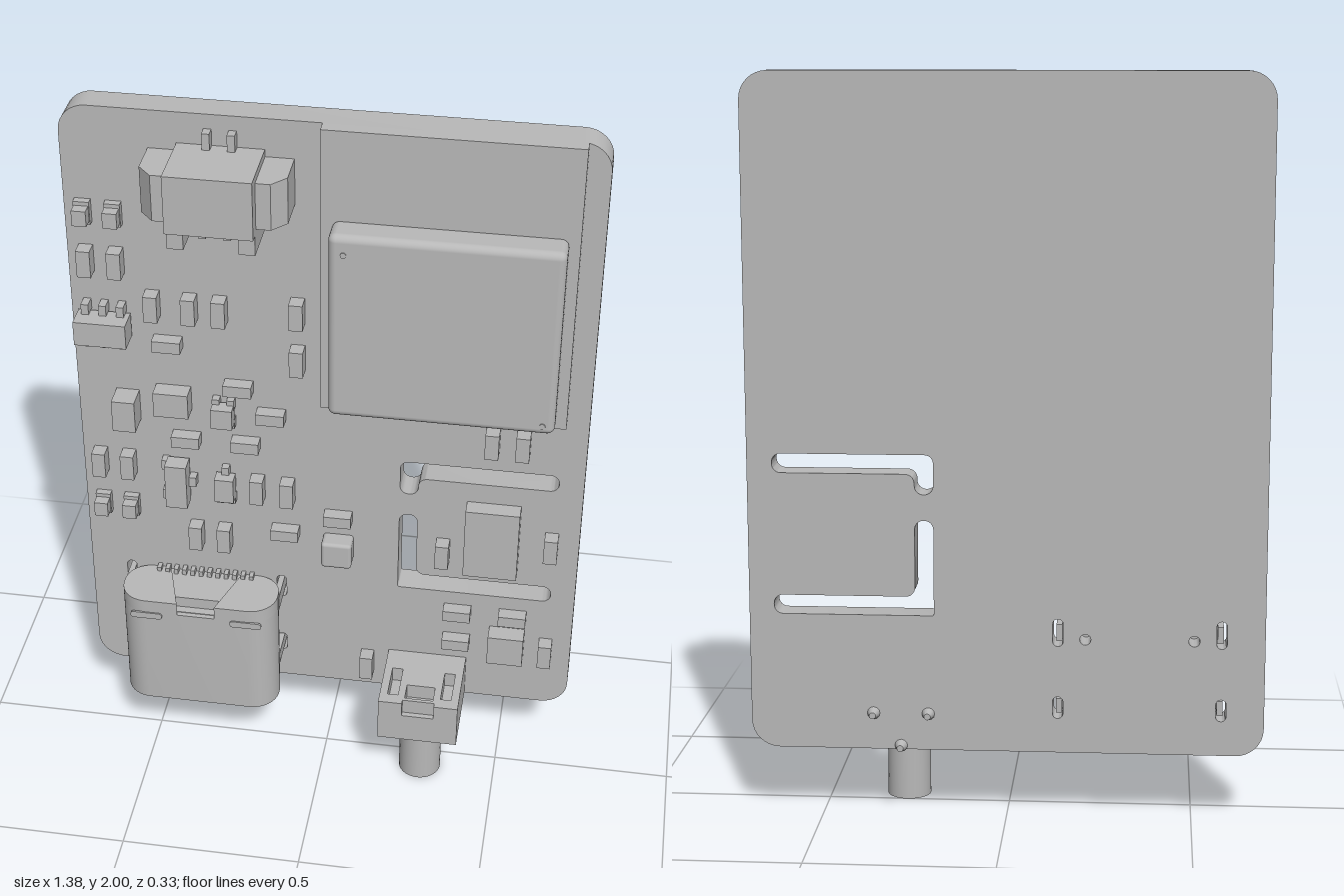
import * as THREE from 'three';
import { toCreasedNormals } from 'three/addons/utils/BufferGeometryUtils.js';
import { RoundedBoxGeometry } from 'three/addons/geometries/RoundedBoxGeometry.js';

const grey = new THREE.MeshStandardMaterial({ color: 0xb8b8b8 });
grey.name = 'plain grey';

const BACK = -0.138, FACE = -0.058; // board surfaces

// Closed outline with rounded corners; points are [x, y, radius]
function outline(points, Type = THREE.Shape) {
  const s = new Type();
  const n = points.length;
  const v = points.map(p => new THREE.Vector2(p[0], p[1]));
  const k = 0.5523;
  for (let i = 0; i < n; i++) {
    const p = v[i], r = points[i][2] || 0;
    const inDir = v[(i + n - 1) % n].clone().sub(p).normalize();
    const outDir = v[(i + 1) % n].clone().sub(p).normalize();
    const a = p.clone().addScaledVector(inDir, r), b = p.clone().addScaledVector(outDir, r);
    if (i === 0) s.moveTo(a.x, a.y); else s.lineTo(a.x, a.y);
    if (r > 0) {
      const c = r * (1 - k);
      s.bezierCurveTo(p.x + inDir.x * c, p.y + inDir.y * c, p.x + outDir.x * c, p.y + outDir.y * c, b.x, b.y);
    }
  }
  s.closePath();
  return s;
}

function rect(x0, y0, x1, y1, r = 0, Type = THREE.Shape) {
  return outline([[x0, y0, r], [x1, y0, r], [x1, y1, r], [x0, y1, r]], Type);
}

function extrude(shape, depth) {
  const g = new THREE.ExtrudeGeometry(shape, { depth, bevelEnabled: false, curveSegments: 8 });
  return toCreasedNormals(g, 0.6);
}

// Extrusion of an (x, z) outline from y0 up to y1
function extrudeY(shape, y0, y1) {
  return extrude(shape, y1 - y0).rotateX(Math.PI / 2).translate(0, y1, 0);
}

function add(parent, name, geometry) {
  const m = new THREE.Mesh(geometry, grey);
  m.name = name;
  parent.add(m);
  return m;
}

function box(parent, name, x0, x1, y0, y1, z0, z1) {
  return add(parent, name, new THREE.BoxGeometry(x1 - x0, y1 - y0, z1 - z0)
    .translate((x0 + x1) / 2, (y0 + y1) / 2, (z0 + z1) / 2));
}

// Block sitting on the board face, given centre, size and height
function chip(parent, name, x, y, w, h, t) {
  return box(parent, name, x - w / 2, x + w / 2, y - h / 2, y + h / 2, FACE, FACE + t);
}

function group(parent, name) {
  const g = new THREE.Group();
  g.name = name;
  parent.add(g);
  return g;
}

function buildBoard(root) {
  const s = rect(-0.69, 0.19, 0.69, 2, 0.075);
  // Isolation slots around the sensor
  s.holes.push(outline([[0.193, 1, 0.022], [0.623, 1, 0.024], [0.623, 0.948, 0.024],
    [0.243, 0.948, 0.025], [0.243, 0.893, 0.024], [0.193, 0.893, 0.024]], THREE.Path));
  s.holes.push(outline([[0.193, 0.823, 0.024], [0.243, 0.823, 0.024], [0.243, 0.615, 0.025],
    [0.623, 0.615, 0.024], [0.623, 0.563, 0.024], [0.193, 0.563, 0.005]], THREE.Path));
  // Socket leg slots and locating holes
  for (const d of [-1, 1]) {
    const x = -0.357 + d * 0.218;
    s.holes.push(rect(x - 0.014, 0.485, x + 0.014, 0.56, 0.0135, THREE.Path));
    s.holes.push(rect(x - 0.014, 0.285, x + 0.014, 0.345, 0.0135, THREE.Path));
    const hole = new THREE.Path();
    hole.absarc(-0.357 + d * 0.145, 0.505, 0.015, 0, Math.PI * 2);
    s.holes.push(hole);
  }
  add(root, 'circuitBoard', extrude(s, FACE - BACK).translate(0, 0, BACK));
}

function buildRadioModule(root) {
  const g = group(root, 'radioModule');
  box(g, 'moduleBoard', -0.02, 0.63, 1.18, 2, FACE, -0.022);
  add(g, 'shieldCan', new RoundedBoxGeometry(0.592, 0.542, 0.09, 3, 0.02).translate(0.306, 1.481, 0.013));
  for (const [x, y] of [[0.05, 1.7], [0.57, 1.24]])
    add(g, 'shieldMark', new THREE.CylinderGeometry(0.008, 0.008, 0.004, 12).rotateX(Math.PI / 2).translate(x, y, 0.059));
}

function buildBatteryConnector(root) {
  const g = group(root, 'batteryConnector');
  const cx = -0.276;
  box(g, 'rearWall', cx - 0.112, cx + 0.112, 1.83, 1.915, FACE, 0.118);
  box(g, 'floor', cx - 0.112, cx + 0.112, 1.755, 1.83, FACE, 0.0);
  box(g, 'roof', cx - 0.112, cx + 0.112, 1.755, 1.83, 0.08, 0.118);
  for (const d of [-1, 1]) {
    const at = (name, a, b, y0, y1, z0, z1) =>
      box(g, name, cx + Math.min(d * a, d * b), cx + Math.max(d * a, d * b), y0, y1, z0, z1);
    at('sideWall', 0.06, 0.112, 1.755, 1.83, 0, 0.08);
    at('lowerArm', 0.07, 0.112, 1.7, 1.755, FACE, 0.095);
    at('pin', 0.022, 0.042, 1.71, 1.83, 0.03, 0.05);
    at('solderTail', 0.022, 0.042, 1.915, 1.96, FACE, -0.03);
    // Chamfered mounting ear
    const ear = outline([[cx + d * 0.112, FACE], [cx + d * 0.186, FACE], [cx + d * 0.186, 0.04],
      [cx + d * 0.15, 0.08], [cx + d * 0.112, 0.08]]);
    add(g, 'mountingEar', extrudeY(ear, 1.767, 1.895));
  }
}

function buildSocket(root) {
  const g = group(root, 'chargingSocket');
  const x0 = -0.578, x1 = -0.136, z0 = FACE, z1 = 0.102, t = 0.014;
  const ring = rect(x0, z0, x1, z1, 0.075);
  ring.holes.push(rect(x0 + t, z0 + t, x1 - t, z1 - t, 0.062, THREE.Path));
  add(g, 'shell', extrudeY(ring, 0.19, 0.51));
  box(g, 'tongue', -0.49, -0.224, 0.22, 0.46, 0.007, 0.037);
  add(g, 'innerHousing', extrudeY(rect(x0 + t, z0 + t, x1 - t, z1 - t, 0.06), 0.44, 0.512));
  box(g, 'rearHousing', -0.5, -0.214, 0.5, 0.545, FACE, 0.065);
  // Shell corners beside the rear notch
  add(g, 'shellCorner', extrudeY(outline([[x0, z0, 0.07], [-0.46, z0], [-0.41, z1], [x0, z1, 0.075]]), 0.51, 0.55));
  add(g, 'shellCorner', extrudeY(outline([[-0.254, z0], [x1, z0, 0.07], [x1, z1, 0.075], [-0.304, z1]]), 0.51, 0.55));
  for (const d of [-1, 1]) {
    const x = -0.357 + d * 0.215;
    box(g, 'rearLeg', x - 0.008, x + 0.008, 0.495, 0.54, BACK + 0.02, 0.02);
    box(g, 'frontLeg', x - 0.008, x + 0.008, 0.295, 0.335, BACK + 0.02, 0.02);
    const tx = -0.357 + d * 0.142;
    add(g, 'shellTab', extrude(rect(tx - 0.045, 0.49, tx + 0.045, 0.51, 0.009), 0.006).translate(0, 0, 0.1));
  }
  for (let i = 0; i < 12; i++) {
    const x = -0.49 + i * 0.0242;
    box(g, 'contact', x - 0.006, x + 0.006, 0.54, 0.562, FACE, -0.035);
  }
}

function buildSwitch(root) {
  const g = group(root, 'sideButton');
  const cx = 0.284;
  box(g, 'buttonBase', cx - 0.112, cx + 0.112, 0.19, 0.28, FACE, 0.165);
  // Recessed upper rim
  const rim = outline([[cx - 0.112, FACE], [cx + 0.112, FACE], [cx + 0.112, 0.165], [cx + 0.045, 0.165],
    [cx + 0.045, 0.15], [cx - 0.045, 0.15], [cx - 0.045, 0.165], [cx - 0.112, 0.165]]);
  rim.holes.push(rect(cx - 0.04, 0.085, cx + 0.04, 0.14, 0, THREE.Path));
  for (const d of [-1, 1])
    rim.holes.push(rect(cx + d * 0.075 - 0.015, 0.02, cx + d * 0.075 + 0.015, 0.13, 0, THREE.Path));
  add(g, 'buttonRim', extrudeY(rim, 0.28, 0.325));
  add(g, 'plunger', new THREE.CylinderGeometry(0.06, 0.06, 0.2, 32).translate(cx, 0.1, 0.058));
  for (const d of [-1, 1]) box(g, 'foot', cx + d * 0.085 - 0.015, cx + d * 0.085 + 0.015, 0.18, 0.195, 0.1, 0.14);
  // Soldered pins through the board
  for (const [x, y] of [[-0.074, 0.29], [0, 0.2], [0.074, 0.29]])
    add(g, 'pin', new THREE.CylinderGeometry(0.009, 0.018, 0.03, 12).rotateX(-Math.PI / 2).translate(cx + x, y, -0.151));
}

function buildSmallParts(root) {
  const g = group(root, 'smallParts');
  const upright = [[-0.64, 1.563], [-0.56, 1.563], [-0.64, 0.919], [-0.56, 0.919], [-0.47, 1.441], [-0.37, 1.441],
    [-0.29, 1.441], [-0.085, 1.454], [-0.085, 1.309], [-0.2, 0.874], [-0.116, 0.872], [-0.376, 0.694], [-0.296, 0.694],
    [0.439, 1.102], [0.521, 1.102], [0.317, 0.713], [0.614, 0.768], [0.619, 0.389], [0.111, 0.278]];
  const level = [[-0.434, 1.325], [-0.246, 1.203], [-0.159, 1.12], [-0.394, 1.02], [-0.23, 1.02], [-0.124, 0.731],
    [0.024, 0.797], [0.365, 0.503], [0.521, 0.503], [0.365, 0.397]];
  for (const [x, y] of upright) chip(g, 'capacitor', x, y, 0.037, 0.077, 0.042);
  for (const [x, y] of level) chip(g, 'resistor', x, y, 0.077, 0.034, 0.038);

  // Indicator lamps with end terminals
  for (const x of [-0.64, -0.56]) for (const y of [1.703, 0.773]) {
    chip(g, 'lampBase', x, y, 0.042, 0.066, 0.02);
    chip(g, 'lampLens', x, y, 0.038, 0.044, 0.05);
  }

  // Larger blocks: x, y, width, height, thickness
  for (const b of [[-0.553, 1.11, 0.063, 0.095, 0.068], [-0.426, 1.147, 0.095, 0.074, 0.05],
    [0.452, 0.776, 0.148, 0.222, 0.048], [0.508, 0.405, 0.1, 0.095, 0.052]]) chip(g, 'block', ...b);
  add(g, 'motionSensor', new RoundedBoxGeometry(0.085, 0.083, 0.06, 2, 0.01).translate(0.024, 0.689, -0.035));

  // Leaded packages: body followed by leg offsets
  const packages = [
    [-0.6, 1.372, 0.14, 0.07, 0.078, [[-0.047, 0.05], [0, 0.05], [0.047, 0.05], [-0.047, -0.05], [0, -0.05], [0.047, -0.05]]],
    [-0.42, 0.882, 0.06, 0.138, 0.06, [[0.04, 0], [-0.035, 0.05], [-0.035, -0.05]]],
    [-0.288, 0.877, 0.053, 0.074, 0.05, [[0, 0.045], [-0.016, -0.045], [0.016, -0.045]]],
    [-0.288, 1.118, 0.058, 0.06, 0.052, [[-0.02, 0.03], [0.02, 0.03], [-0.02, -0.03], [0.02, -0.03]]],
  ];
  for (const [x, y, w, h, t, legs] of packages) {
    const p = group(g, 'leadedChip');
    box(p, 'body', x - w / 2, x + w / 2, y - h / 2, y + h / 2, FACE + 0.01, FACE + t);
    for (const [dx, dy] of legs) chip(p, 'leg', x + dx, y + dy, 0.02, 0.03, t * 0.45);
  }
}

export function createModel() {
  const root = new THREE.Group();
  root.name = 'circuitBoardAssembly';
  buildBoard(root);
  buildRadioModule(root);
  buildBatteryConnector(root);
  buildSocket(root);
  buildSwitch(root);
  buildSmallParts(root);
  return root;
}
